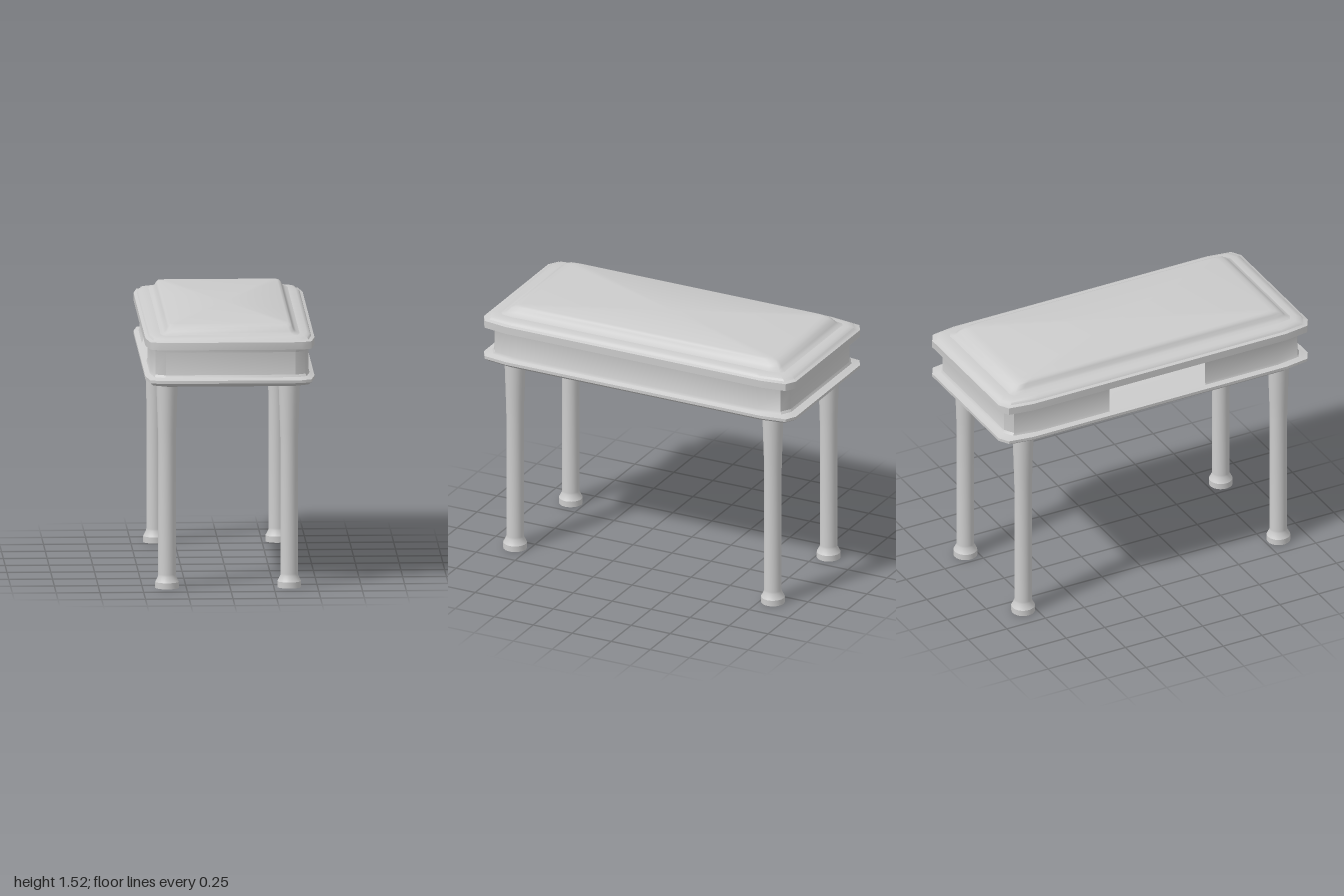
import * as THREE from 'three';
import { toCreasedNormals } from 'three/addons/utils/BufferGeometryUtils.js';

const material = new THREE.MeshStandardMaterial({ color: 0xcccccc });
const thinMaterial = new THREE.MeshStandardMaterial({ color: 0xcccccc, side: THREE.DoubleSide });
const OPENING = 0.31; // half length of the opening in the side wall

// Plan outline with softly clipped corners; c scales the corner cut.
function outline(hx, hz, c) {
  const corner = [[hx, OPENING], [hx, hz - 0.18 * c], [hx - 0.022 * c, hz - 0.035 * c], [hx - 0.08 * c, hz]];
  const flip = (sx, sz) => corner.map(([x, z]) => [x * sx, z * sz]);
  return [...flip(1, 1).reverse(), ...flip(1, -1), ...flip(-1, -1).reverse(), ...flip(-1, 1)];
}

// Skins a stack of outlines [halfX, halfZ, y, cornerScale], from bottom to top.
function loft(rings, { caps = true, skip = -1, crease = 0.6 } = {}) {
  const pos = [], index = [];
  const n = 16;
  for (const [hx, hz, y, c = 1] of rings) {
    for (const [x, z] of outline(hx, hz, c)) pos.push(x, y, z);
  }
  for (let r = 0; r < rings.length - 1; r++) {
    for (let i = 0; i < n; i++) {
      if (i === skip) continue;
      const a = r * n + i, b = r * n + (i + 1) % n;
      index.push(a, b, b + n, a, b + n, a + n);
    }
  }
  if (caps) {
    const last = rings.length - 1, centre = pos.length / 3;
    pos.push(0, rings[0][2], 0, 0, rings[last][2], 0);
    for (let i = 0; i < n; i++) {
      const j = (i + 1) % n;
      index.push(centre, j, i, centre + 1, last * n + i, last * n + j);
    }
  }
  const geo = new THREE.BufferGeometry();
  geo.setAttribute('position', new THREE.Float32BufferAttribute(pos, 3));
  geo.setIndex(index);
  return toCreasedNormals(geo, crease);
}

function add(parent, name, geometry, mat = material) {
  const mesh = new THREE.Mesh(geometry, mat);
  mesh.name = name;
  parent.add(mesh);
  return mesh;
}

export function createModel() {
  const group = new THREE.Group();
  group.name = 'sideTable';

  // Lower moulding, also the floor behind the side opening
  add(group, 'lowerMoulding', loft([
    [0.44, 0.955, 1.18], [0.465, 0.98, 1.187], [0.483, 1.0, 1.203],
    [0.483, 1.0, 1.22], [0.465, 0.97, 1.226], [0.45, 0.95, 1.235],
  ]));

  // Thin apron wall, open at the middle of the -x side
  add(group, 'apron', loft([
    [0.458, 0.96, 1.228], [0.45, 0.95, 1.245], [0.45, 0.95, 1.375], [0.455, 0.956, 1.4],
  ], { caps: false, skip: 11 }), thinMaterial);

  // Table top with a stepped edge
  add(group, 'tableTop', loft([
    [0.483, 1.0, 1.397], [0.483, 1.0, 1.44], [0.465, 0.98, 1.446],
    [0.458, 0.97, 1.457], [0.44, 0.945, 1.465], [0.4, 0.91, 1.467],
  ]));

  // Raised centre panel with a coved border
  add(group, 'raisedPanel', loft([
    [0.4, 0.91, 1.466, 0.5], [0.378, 0.888, 1.473, 0.4], [0.366, 0.876, 1.485, 0.35],
    [0.358, 0.86, 1.502, 0.35], [0.35, 0.835, 1.514, 0.35], [0.335, 0.8, 1.52, 0.35],
  ], { crease: 0.9 }));

  // Four turned legs with flared tops and stepped feet
  const profile = [
    [0, 0], [0.068, 0], [0.068, 0.035], [0.064, 0.042], [0.051, 0.068],
    [0.05, 0.08], [0.05, 0.82], [0.052, 0.9], [0.06, 1.15], [0.061, 1.19],
  ].map(([x, y]) => new THREE.Vector2(x, y));
  const legGeometry = toCreasedNormals(new THREE.LatheGeometry(profile, 24), 0.5);
  for (const x of [-0.36, 0.338]) {
    for (const z of [-0.82, 0.833]) {
      const name = (z > 0 ? 'front' : 'back') + (x > 0 ? 'Left' : 'Right') + 'Leg';
      add(group, name, legGeometry).position.set(x, 0, z);
    }
  }
  return group;
}
